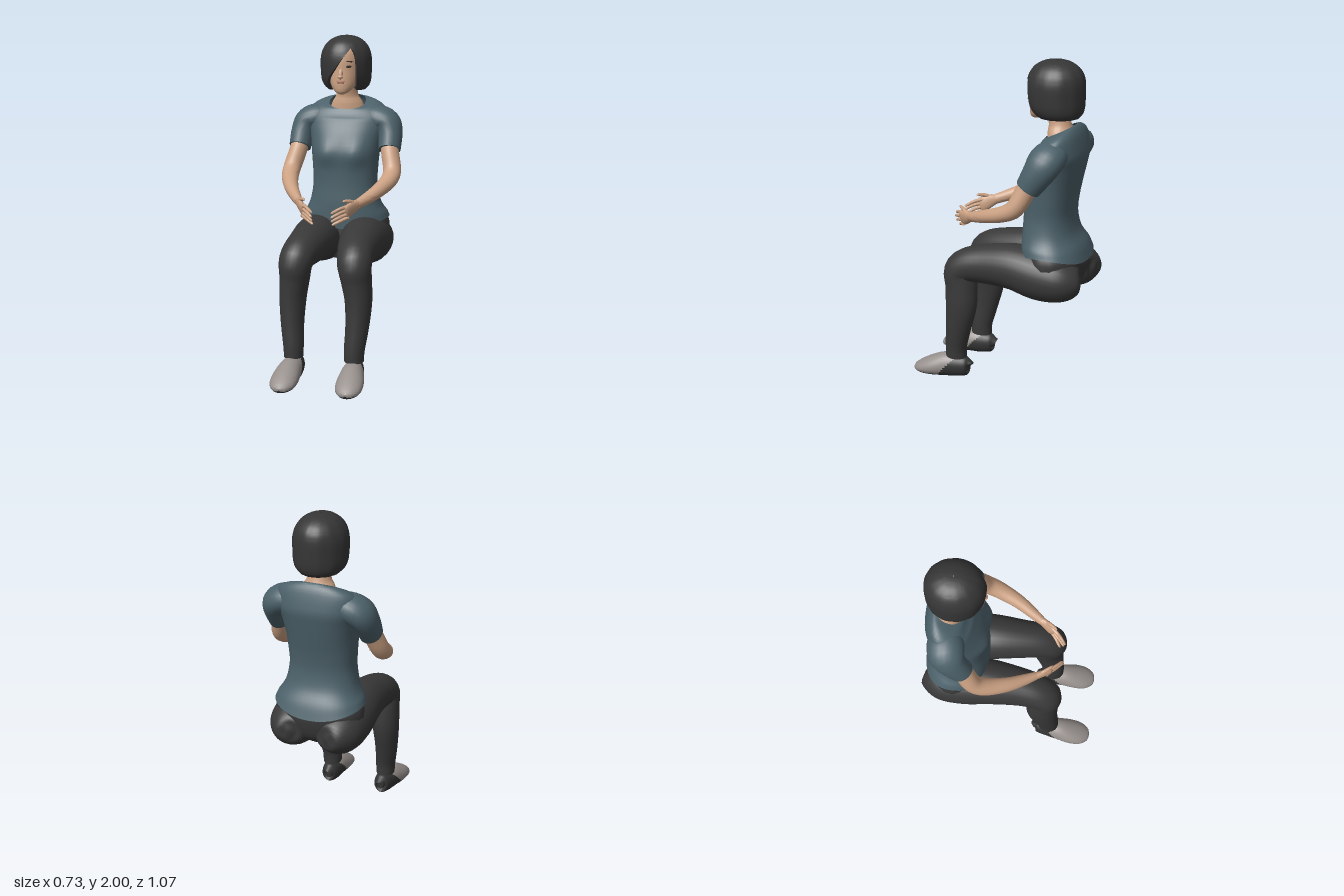
import * as THREE from 'three';
import { toCreasedNormals } from 'three/addons/utils/BufferGeometryUtils.js';

const paint = (name, color) => {
  const m = new THREE.MeshStandardMaterial({ color });
  m.name = name;
  return m;
};
const V = (x, y, z) => new THREE.Vector3(x, y, z);
const X = V(1, 0, 0), Y = V(0, 1, 0), Z = V(0, 0, 1);
const clamp = THREE.MathUtils.clamp;

// Smooth skin over elliptical sections [x, y, z, a, b]; a lies along ref, b across it.
function loft(name, material, sections, o = {}) {
  const { ref = X, normal = null, seg = 24, sub = 4, power = 1, side = 1, warp, pick, openEnd } = o;
  const path = new THREE.CatmullRomCurve3(sections.map(s => V(s[0] * side, s[1], s[2])), false, 'catmullrom');
  const size = new THREE.CatmullRomCurve3(sections.map(s => V(s[3], s[4], 0)), false, 'catmullrom');
  const rows = (sections.length - 1) * sub;
  const pts = [];
  const put = p => { if (warp) warp(p); pts.push(p); };
  const round = v => Math.sign(v) * Math.abs(v) ** power;
  for (let i = 0; i <= rows; i++) {
    const t = i / rows, c = path.getPoint(t), r = size.getPoint(t);
    const T = normal || path.getTangent(t);
    const A = ref.clone().addScaledVector(T, -ref.dot(T)).normalize();
    const B = T.clone().cross(A);
    for (let j = 0; j < seg; j++) {
      const q = j / seg * Math.PI * 2;
      put(c.clone().addScaledVector(A, Math.max(r.x, 0.002) * round(Math.cos(q)))
        .addScaledVector(B, Math.max(r.y, 0.002) * round(Math.sin(q))));
    }
  }
  const faces = [[], []];
  const tri = (a, b, c) => {
    const mid = pts[a].clone().add(pts[b]).add(pts[c]).divideScalar(3);
    faces[pick ? pick(mid) : 0].push(a, b, c);
  };
  for (let i = 0; i < rows; i++) for (let j = 0; j < seg; j++) {
    const k = (j + 1) % seg, a = i * seg + j, b = i * seg + k;
    tri(a, b, b + seg);
    tri(a, b + seg, a + seg);
  }
  put(path.getPoint(0));
  put(path.getPoint(1));
  const n = pts.length;
  for (let j = 0; j < seg; j++) {
    const k = (j + 1) % seg;
    tri(n - 2, k, j);
    if (!openEnd) tri(n - 1, rows * seg + j, rows * seg + k);
  }
  let geo = new THREE.BufferGeometry().setFromPoints(pts);
  geo.setIndex([...faces[0], ...faces[1]]);
  if (pick) {
    geo.addGroup(0, faces[0].length, 0);
    geo.addGroup(faces[0].length, faces[1].length, 1);
  }
  geo = toCreasedNormals(geo, 1.0);
  const mesh = new THREE.Mesh(geo, material);
  mesh.name = name;
  return mesh;
}

// Bob shell: rows [y, centre z, rx, rz, right edge x, left edge x], open over the face.
function bobHair(material) {
  const rows = [
    [1.675, -0.325, 0.112, 0.122, -0.085, 0.085], [1.70, -0.322, 0.136, 0.144, -0.086, 0.088],
    [1.74, -0.314, 0.15, 0.16, -0.085, 0.092], [1.80, -0.309, 0.154, 0.167, -0.04, 0.095],
    [1.86, -0.308, 0.154, 0.168, 0.005, 0.092], [1.90, -0.309, 0.146, 0.162, 0.037, 0.08],
    [1.93, -0.31, 0.133, 0.149, 0.055, 0.06], [1.96, -0.31, 0.11, 0.125, 0.05, 0.05],
    [1.985, -0.31, 0.074, 0.085, 0.036, 0.036], [1.997, -0.31, 0.035, 0.042, 0.016, 0.016],
    [2.0, -0.31, 0.003, 0.003, 0, 0]];
  const one = new THREE.CatmullRomCurve3(rows.map(r => V(r[0], r[1], r[2])), false, 'catmullrom');
  const two = new THREE.CatmullRomCurve3(rows.map(r => V(r[3], r[4], r[5])), false, 'catmullrom');
  const steps = 40, seg = 48, pts = [], index = [];
  for (let i = -1; i <= steps; i++) {
    const t = Math.max(i, 0) / steps, p = one.getPoint(t), q = two.getPoint(t);
    const under = i < 0 ? 0.6 : 1, y = i < 0 ? 1.695 : Math.min(p.x, 2);
    const from = Math.asin(clamp(q.z / p.z, -0.95, 0.95));
    const to = Math.PI * 2 + Math.asin(clamp(q.y / p.z, -0.95, 0.95));
    for (let j = -1; j <= seg + 1; j++) {
      const f = THREE.MathUtils.lerp(from, to, clamp(j / seg, 0, 1));
      const edge = j < 0 || j > seg ? 0.86 : 1 + 0.008 * Math.sin(f * 13);
      pts.push(V(p.z * under * edge * Math.sin(f), y, p.y + q.x * under * edge * Math.cos(f)));
    }
  }
  const w = seg + 3;
  for (let i = 0; i <= steps; i++) for (let j = 0; j < w - 1; j++) {
    const a = i * w + j;
    index.push(a, a + 1, a + w + 1, a, a + w + 1, a + w);
  }
  const geo = new THREE.BufferGeometry().setFromPoints(pts);
  geo.setIndex(index);
  const mesh = new THREE.Mesh(toCreasedNormals(geo, 0.9), material);
  mesh.name = 'bobHair';
  return mesh;
}

export function createModel() {
  const g = new THREE.Group();
  g.name = 'seatedWoman';
  const skin = paint('skin', 0xcba183), shirt = paint('shirt', 0x4c616a), trousers = paint('trousers', 0x393939);
  const hair = paint('hair', 0x363636), shoe = paint('shoeGrey', 0x968f8c), sole = paint('shoeDark', 0x343434);
  const lip = paint('lips', 0xb07a68), dark = paint('eyeDark', 0x2a211d);
  shirt.side = hair.side = THREE.DoubleSide;
  const level = { normal: Y };

  // Shirt body with bust, lifted side hem and sloping collar
  g.add(loft('shirtBody', shirt, [
    [0, 0.84, -0.333, 0.266, 0.192], [0, 0.92, -0.318, 0.25, 0.178], [0, 1.0, -0.295, 0.215, 0.155],
    [0, 1.1, -0.288, 0.197, 0.143], [0, 1.2, -0.292, 0.2, 0.148], [0, 1.3, -0.3, 0.208, 0.16],
    [0, 1.4, -0.325, 0.222, 0.155], [0, 1.48, -0.35, 0.24, 0.14], [0, 1.55, -0.355, 0.235, 0.11],
    [0, 1.585, -0.35, 0.18, 0.09], [0, 1.597, -0.345, 0.112, 0.08]], {
    ...level, power: 0.85, seg: 40, openEnd: true,
    warp: p => {
      const x = Math.abs(p.x);
      if (p.z > -0.25) p.z += 0.022 * Math.exp(-(((x - 0.1) / 0.06) ** 2) - ((p.y - 1.3) / 0.07) ** 2);
      p.y += 0.055 * (x / 0.265) ** 2 * clamp((0.95 - p.y) / 0.11, 0, 1);
      p.y -= 0.5 * (p.z + 0.345) * clamp((p.y - 1.5) / 0.1, 0, 1);
    } }));

  // Pelvis
  g.add(loft('pelvis', trousers, [
    [0, 0.64, -0.3, 0.1, 0.1], [0, 0.7, -0.33, 0.2, 0.15], [0, 0.78, -0.335, 0.262, 0.175],
    [0, 0.86, -0.34, 0.266, 0.175], [0, 0.91, -0.325, 0.245, 0.16]], level));

  // Neck and head
  g.add(loft('neck', skin, [
    [0, 1.5, -0.35, 0.11, 0.08], [0, 1.55, -0.348, 0.108, 0.079], [0, 1.6, -0.342, 0.09, 0.073],
    [0, 1.64, -0.335, 0.067, 0.064], [0, 1.72, -0.315, 0.06, 0.062]], level));
  g.add(loft('head', skin, [
    [0, 1.655, -0.188, 0.012, 0.012], [0, 1.668, -0.197, 0.04, 0.037], [0, 1.7, -0.23, 0.07, 0.076],
    [0, 1.74, -0.265, 0.09, 0.11], [0, 1.8, -0.29, 0.103, 0.13], [0, 1.86, -0.3, 0.108, 0.137],
    [0, 1.92, -0.305, 0.1, 0.125], [0, 1.965, -0.308, 0.06, 0.07]], level));
  g.add(bobHair(hair));

  // Facial features
  const blob = (name, mat, x, y, z, sx, sy, sz, rx = 0, ry = 0, rz = 0) => {
    const m = new THREE.Mesh(new THREE.SphereGeometry(1, 16, 10), mat);
    m.name = name;
    m.position.set(x, y, z);
    m.scale.set(sx, sy, sz);
    m.rotation.set(rx, ry, rz);
    g.add(m);
  };
  blob('nose', skin, 0, 1.778, -0.158, 0.014, 0.034, 0.016, -0.3);
  blob('noseTip', skin, 0, 1.762, -0.15, 0.018, 0.011, 0.015);
  blob('upperLip', lip, 0, 1.734, -0.158, 0.027, 0.006, 0.009);
  blob('lowerLip', lip, 0, 1.724, -0.158, 0.023, 0.006, 0.009);

  for (const side of [1, -1]) {
    const tag = side > 0 ? 'left' : 'right';
    const add = (name, mat, secs, o = {}) => g.add(loft(tag + name, mat, secs, { side, ...o }));
    blob(tag + 'Eye', dark, side * 0.046, 1.822, -0.174, 0.018, 0.007, 0.004, 0, side * 0.38);
    blob(tag + 'Brow', dark, side * 0.05, 1.852, -0.178, 0.024, 0.004, 0.004, 0, side * 0.4, side * -0.1);

    // Sleeve and arm
    add('Sleeve', shirt, [
      [0.08, 1.51, -0.36, 0.06, 0.05], [0.17, 1.5, -0.355, 0.1, 0.08], [0.243, 1.47, -0.345, 0.104, 0.085],
      [0.272, 1.41, -0.315, 0.09, 0.074], [0.28, 1.32, -0.26, 0.074, 0.066]], { ref: Z });
    add('Arm', skin, [
      [0.272, 1.4, -0.3, 0.05, 0.055], [0.285, 1.31, -0.25, 0.054, 0.058], [0.31, 1.205, -0.195, 0.054, 0.054],
      [0.303, 1.155, -0.115, 0.051, 0.046], [0.262, 1.113, 0, 0.042, 0.04], [0.212, 1.08, 0.09, 0.033, 0.034],
      [0.175, 1.06, 0.15, 0.024, 0.03]]);

    // Hand with spread fingers
    add('Palm', skin, [
      [0.18, 1.062, 0.142, 0.022, 0.028], [0.155, 1.048, 0.185, 0.02, 0.042],
      [0.132, 1.03, 0.222, 0.017, 0.045], [0.124, 1.025, 0.234, 0.01, 0.036]], { seg: 16 });
    for (let i = 0; i < 4; i++) {
      const d = i * 0.022, back = [0.006, 0, 0.008, 0.028][i];
      add('Finger' + (i + 1), skin, [
        [0.138, 1.06 - d, 0.214, 0.011, 0.011], [0.102, 1.052 - d * 1.1, 0.262 - back * 0.6, 0.01, 0.01],
        [0.066, 1.035 - d * 1.1, 0.298 - back, 0.008, 0.008], [0.056, 1.03 - d * 1.1, 0.306 - back, 0.003, 0.003]],
      { seg: 10 });
    }
    add('Thumb', skin, [
      [0.17, 1.062, 0.165, 0.012, 0.014], [0.15, 1.083, 0.2, 0.012, 0.013],
      [0.124, 1.093, 0.235, 0.009, 0.009], [0.112, 1.092, 0.248, 0.003, 0.003]], { seg: 10 });

    // Trouser leg from seat over the knee to the ankle
    add('TrouserLeg', trousers, [
      [0.13, 0.74, -0.527, 0.03, 0.03], [0.135, 0.74, -0.505, 0.09, 0.085], [0.14, 0.742, -0.42, 0.138, 0.132],
      [0.145, 0.755, -0.28, 0.148, 0.15], [0.147, 0.78, -0.12, 0.138, 0.138], [0.155, 0.772, 0.05, 0.118, 0.12],
      [0.168, 0.752, 0.165, 0.106, 0.106], [0.177, 0.708, 0.22, 0.1, 0.098], [0.186, 0.62, 0.21, 0.09, 0.098],
      [0.198, 0.5, 0.206, 0.08, 0.097], [0.196, 0.35, 0.228, 0.069, 0.08], [0.185, 0.22, 0.25, 0.061, 0.067],
      [0.183, 0.145, 0.252, 0.057, 0.065]], { seg: 28 });

    // Two-tone shoe: grey upper, dark heel and sole
    add('Shoe', [shoe, sole], [
      [0.18, 0.085, 0.172, 0.02, 0.03], [0.18, 0.085, 0.182, 0.045, 0.058], [0.182, 0.08, 0.25, 0.06, 0.073],
      [0.188, 0.077, 0.32, 0.07, 0.075], [0.193, 0.058, 0.4, 0.08, 0.062], [0.195, 0.04, 0.47, 0.073, 0.043],
      [0.195, 0.03, 0.515, 0.045, 0.024], [0.195, 0.028, 0.527, 0.02, 0.012]], {
      seg: 32, sub: 5,
      warp: p => { p.y = Math.max(p.y, 0.025 * clamp(1 - (p.z - 0.17) / 0.25, 0, 1)); },
      pick: p => (p.y < 0.022 + Math.max(0, 0.36 - p.z) ? 1 : 0) });
  }
  return g;
}
